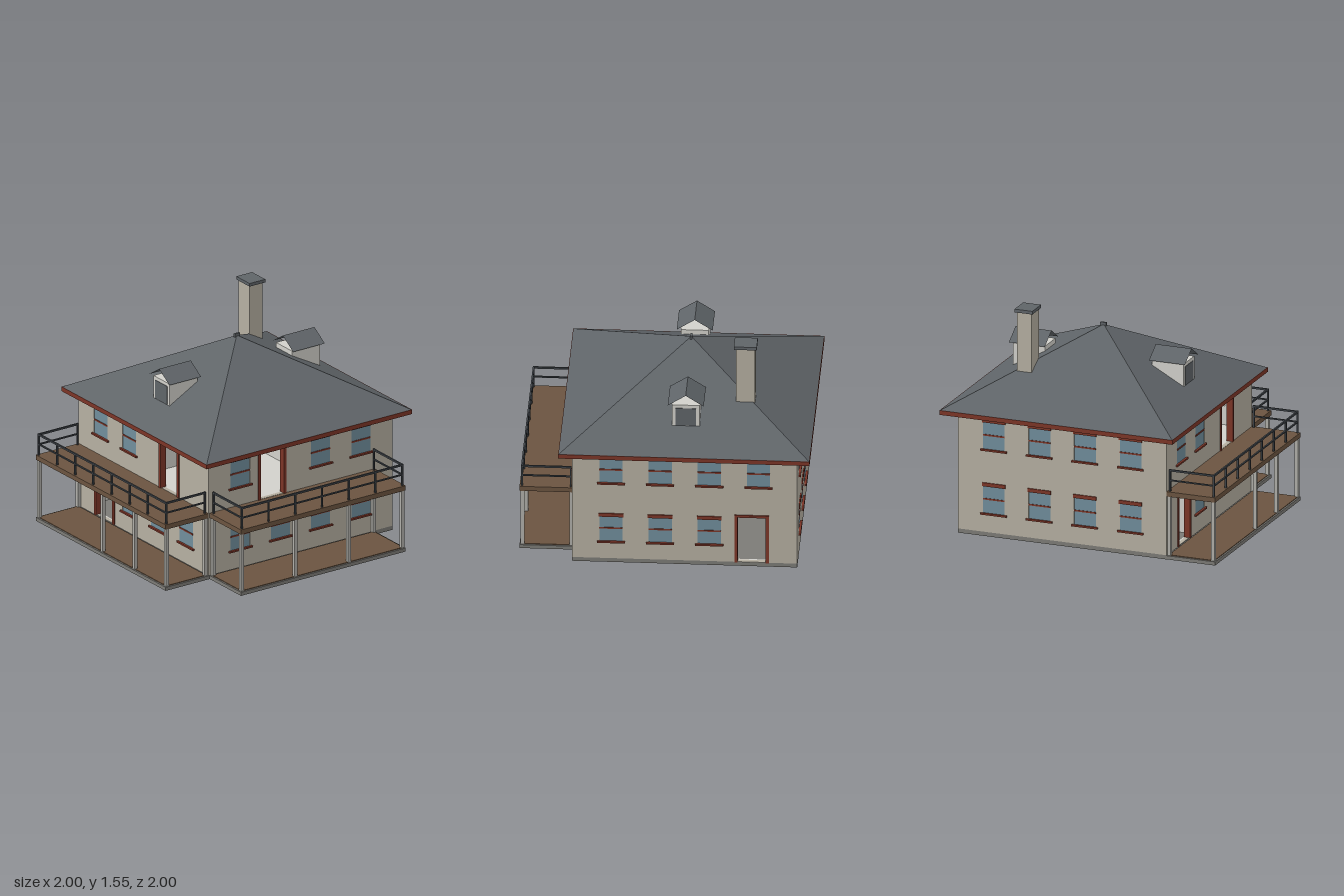
import * as THREE from 'three';

const mat = (name, color) => Object.assign(new THREE.MeshStandardMaterial({ color }), { name });
const M = {
  wall: mat('stone wall', 0xb5afa1),
  plaster: mat('pale plaster', 0xd2d1cb),
  roof: mat('slate roof', 0x5f6468),
  trim: mat('red trim', 0x7c3527),
  glass: mat('blue glass', 0x708d9b),
  deck: mat('brown decking', 0x6b5440),
  rail: mat('dark railing', 0x3d4247),
  column: mat('grey column', 0xb0afa9),
  base: mat('grey base', 0x7c7b76),
};
const thinRoof = mat('slate roof sheet', 0x5f6468);
thinRoof.side = THREE.DoubleSide;

function add(parent, name, geometry, material, x = 0, y = 0, z = 0) {
  const mesh = new THREE.Mesh(geometry, material);
  mesh.name = name;
  mesh.position.set(x, y, z);
  parent.add(mesh);
  return mesh;
}

// Box given by its limits on each axis
function block(parent, name, material, x0, x1, y0, y1, z0, z1) {
  return add(parent, name, new THREE.BoxGeometry(x1 - x0, y1 - y0, z1 - z0), material,
    (x0 + x1) / 2, (y0 + y1) / 2, (z0 + z1) / 2);
}

function group(parent, name, x = 0, y = 0, z = 0, turn = 0) {
  const g = new THREE.Group();
  g.name = name;
  g.position.set(x, y, z);
  g.rotation.y = turn;
  parent.add(g);
  return g;
}

// Flat wall panel with rectangular openings [u0, u1, y0, y1]
function panel(half, y0, y1, openings, depth) {
  const trace = (path, a, b, c, d) => path.moveTo(a, c).lineTo(b, c).lineTo(b, d).lineTo(a, d).lineTo(a, c);
  const shape = new THREE.Shape();
  trace(shape, -half, half, y0, y1);
  for (const o of openings) {
    const hole = new THREE.Path();
    trace(hole, ...o);
    shape.holes.push(hole);
  }
  return new THREE.ExtrudeGeometry(shape, { depth, bevelEnabled: false });
}

const HALF = 0.77; // half the width of the square house
const BAYS = [-0.505, -0.168, 0.168, 0.505];

function addWindow(parent, u, y) {
  const g = group(parent, 'window', u, y, HALF);
  block(g, 'windowGlass', M.glass, -0.08, 0.08, 0, 0.2, -0.01, -0.002);
  block(g, 'windowBar', M.trim, -0.08, 0.08, 0.099, 0.11, -0.012, 0.002);
  block(g, 'windowLintel', M.trim, -0.085, 0.085, 0.196, 0.222, -0.01, 0.008);
  block(g, 'windowSill', M.trim, -0.096, 0.096, -0.008, 0.004, -0.01, 0.014);
}

function addDoorFrame(parent, u, y, height) {
  const g = group(parent, 'doorFrame', u, y, HALF);
  for (const s of [-1, 1]) {
    add(g, 'doorJamb', new THREE.BoxGeometry(0.022, height, 0.045), M.trim, s * 0.107, height / 2, -0.015);
  }
  block(g, 'doorHead', M.trim, -0.118, 0.118, height - 0.018, height, -0.0375, 0.0085);
}

// One side of the house: bays with a lower and an upper row, doors given as [u, floor]
function addSide(parent, name, turn, lower, upper, doors, isEnd) {
  const g = group(parent, name, 0, 0, 0, turn);
  const openings = [];
  [[lower, 0.163], [upper, 0.623]].forEach(([row, y]) => row.forEach((i) => {
    openings.push([BAYS[i] - 0.08, BAYS[i] + 0.08, y, y + 0.2]);
    addWindow(g, BAYS[i], y);
  }));
  for (const [u, y] of doors) {
    openings.push([u - 0.1, u + 0.1, y + 0.002, y + 0.355]);
    addDoorFrame(g, u, y, 0.372);
  }
  add(g, 'outerWall', panel(isEnd ? HALF : HALF - 0.03, 0.03, 0.87, openings, 0.03), M.wall, 0, 0, HALF - 0.03);
  add(g, 'innerWall', panel(HALF - 0.03, 0.03, 0.87, openings, 0.01), M.plaster, 0, 0, HALF - 0.04);
}

// Railing between two points along one axis, split into n bays
function addRailing(parent, x0, z0, x1, z1, n) {
  const g = group(parent, 'railing');
  const w = Math.abs(x1 - x0), d = Math.abs(z1 - z0), cx = (x0 + x1) / 2, cz = (z0 + z1) / 2;
  for (const [y, t] of [[0.639, 0.013], [0.567, 0.009]]) {
    add(g, 'handrail', new THREE.BoxGeometry(w + 0.012, t, d + 0.012), M.rail, cx, y, cz);
  }
  for (let i = 0; i <= n; i++) {
    const t = i / n;
    add(g, 'railPost', new THREE.BoxGeometry(0.012, 0.158, 0.012), M.rail,
      x0 + (x1 - x0) * t, 0.564, z0 + (z1 - z0) * t);
  }
}

function addPorch(parent, name, x0, x1, z0, z1, columns) {
  const g = group(parent, name);
  block(g, 'porchBase', M.base, x0, x1, 0, 0.026, z0, z1);
  block(g, 'porchFloor', M.deck, x0 + 0.012, x1 - 0.012, 0.026, 0.031, z0 + 0.012, z1 - 0.012);
  block(g, 'balconyDeck', M.deck, x0, x1, 0.452, 0.487, z0, z1);
  for (const [x, z] of columns) {
    add(g, 'column', new THREE.BoxGeometry(0.025, 0.424, 0.025), M.column, x, 0.241, z);
  }
  return g;
}

function addDormer(parent, turn) {
  const g = group(parent, 'dormer', 0, 0, 0, turn);
  block(g, 'dormerBox', M.plaster, -0.095, 0.095, 1.015, 1.18, 0.395, 0.63);
  block(g, 'dormerWindow', M.roof, -0.07, 0.07, 1.02, 1.155, 0.626, 0.633);
  // Two open sheets meeting at the ridge
  const tilt = Math.atan2(0.08, 0.123), length = Math.hypot(0.08, 0.123);
  for (const s of [-1, 1]) {
    const sheet = new THREE.PlaneGeometry(length, 0.265).rotateX(-Math.PI / 2);
    add(g, 'dormerRoof', sheet, thinRoof, s * 0.0615, 1.225, 0.5175).rotation.z = -s * tilt;
  }
}

export function createModel() {
  const model = new THREE.Group();
  model.name = 'house';

  // House body
  const body = group(model, 'houseBody', -0.14, 0, -0.13);
  block(body, 'foundation', M.base, -HALF, HALF, 0, 0.03, -HALF, HALF);
  const all = [0, 1, 2, 3];
  addSide(body, 'frontSide', 0, [1, 2, 3], [0, 1], [[-0.458, 0.03], [0.308, 0.487]], true);
  addSide(body, 'balconySide', Math.PI / 2, all, [0, 2, 3], [[-0.24, 0.487]], false);
  addSide(body, 'backSide', Math.PI, [0, 1, 2], all, [[0.458, 0.03]], true);
  addSide(body, 'plainSide', -Math.PI / 2, all, all, [], false);

  // Rooms behind the doors
  const i = HALF - 0.04;
  block(body, 'upperFloor', M.plaster, -i, i, 0.455, 0.487, -i, i);
  block(body, 'hallWall', M.plaster, -0.27, -0.25, 0.03, 0.455, -i, i);
  block(body, 'upperLongWall', M.plaster, -0.07, -0.05, 0.487, 0.865, -i, i);
  block(body, 'upperCrossWall', M.plaster, -0.05, i, 0.487, 0.865, -0.19, -0.17);

  // Roof
  const roof = group(model, 'roof', -0.14, 0, -0.14);
  const eave = block(roof, 'eaves', M.trim, -0.86, 0.86, 0.862, 0.894, -0.86, 0.86);
  eave.material = [M.trim, M.trim, M.trim, M.roof, M.trim, M.trim];
  block(roof, 'soffit', M.roof, -0.84, 0.84, 0.858, 0.864, -0.84, 0.84);
  const hip = new THREE.ConeGeometry(0.857 * Math.SQRT2, 0.466, 4, 1, true).rotateY(Math.PI / 4).toNonIndexed();
  hip.computeVertexNormals();
  add(roof, 'hippedRoof', hip, M.roof, 0, 0.894 + 0.233, 0);
  block(roof, 'ridgeCap', M.roof, -0.007, 0.007, 1.345, 1.375, -0.023, 0.02);
  addDormer(roof, 0);
  addDormer(roof, Math.PI);

  // Chimney
  block(model, 'chimney', M.wall, -0.603, -0.471, 1.0, 1.532, -0.59, -0.482);
  block(model, 'chimneyCap', M.roof, -0.615, -0.458, 1.532, 1.555, -0.604, -0.472);

  // Front porch with its balcony
  const front = addPorch(model, 'frontPorch', -0.908, 0.63, 0.64, 0.998,
    [[-0.89, 0.98], [-0.14, 0.98], [0.24, 0.98], [0.612, 0.98], [-0.89, 0.656], [0.612, 0.656]]);
  addRailing(front, -0.893, 0.983, 0.613, 0.983, 7);
  for (const x of [-0.893, 0.613]) addRailing(front, x, 0.66, x, 0.983, 1);

  // Side porch with its balcony
  const side = addPorch(model, 'sidePorch', 0.63, 1, -0.748, 0.63,
    [[0.98, 0.61], [0.98, 0.165], [0.98, -0.285], [0.98, -0.73], [0.646, 0.61], [0.646, -0.73]]);
  addRailing(side, 0.984, 0.612, 0.984, -0.73, 6);
  for (const z of [0.612, -0.73]) addRailing(side, 0.65, z, 0.984, z, 1);

  return model;
}
